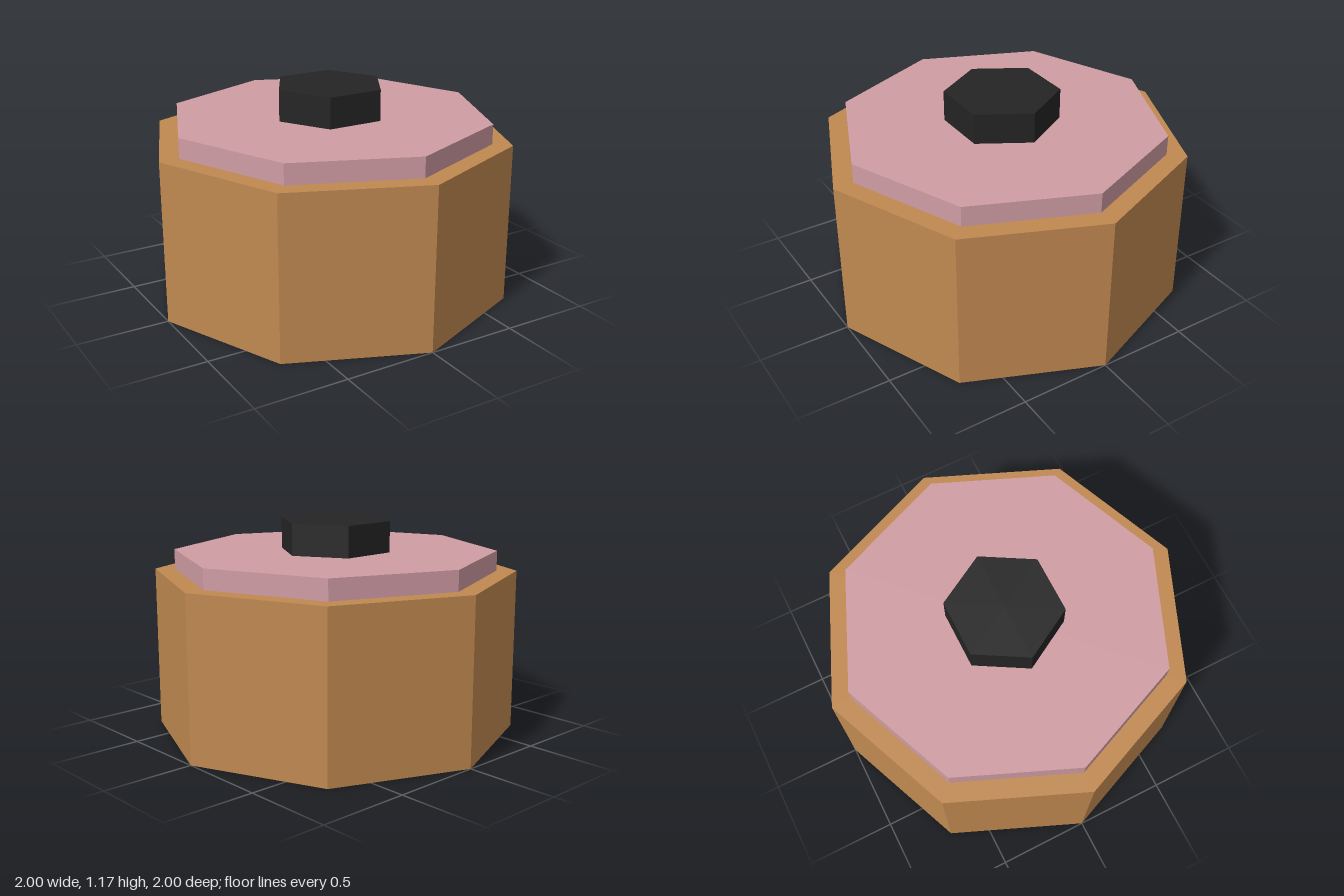
import * as THREE from 'three';

const material = (name, color) => {
  const m = new THREE.MeshStandardMaterial({ color, flatShading: true });
  m.name = name;
  return m;
};

// Upright prism standing on height y
function prism(name, radius, y, height, sides, mat, turn = 0) {
  const geometry = new THREE.CylinderGeometry(radius, radius, height, sides);
  geometry.rotateY(turn);
  const mesh = new THREE.Mesh(geometry, mat);
  mesh.name = name;
  mesh.position.y = y + height / 2;
  return mesh;
}

export function createModel() {
  const model = new THREE.Group();
  model.name = 'lidded container';
  model.add(
    // Octagonal body
    prism('body', 1, 0, 0.89, 8, material('warm brown', 0xc08850)),
    // Inset lid
    prism('lid', 0.89, 0.89, 0.11, 8, material('dusty pink', 0xcf9ca3)),
    // Hexagonal knob, corners pointing left and right
    prism('knob', 0.31, 1, 0.17, 6, material('near black', 0x242424), Math.PI / 2)
  );
  return model;
}
